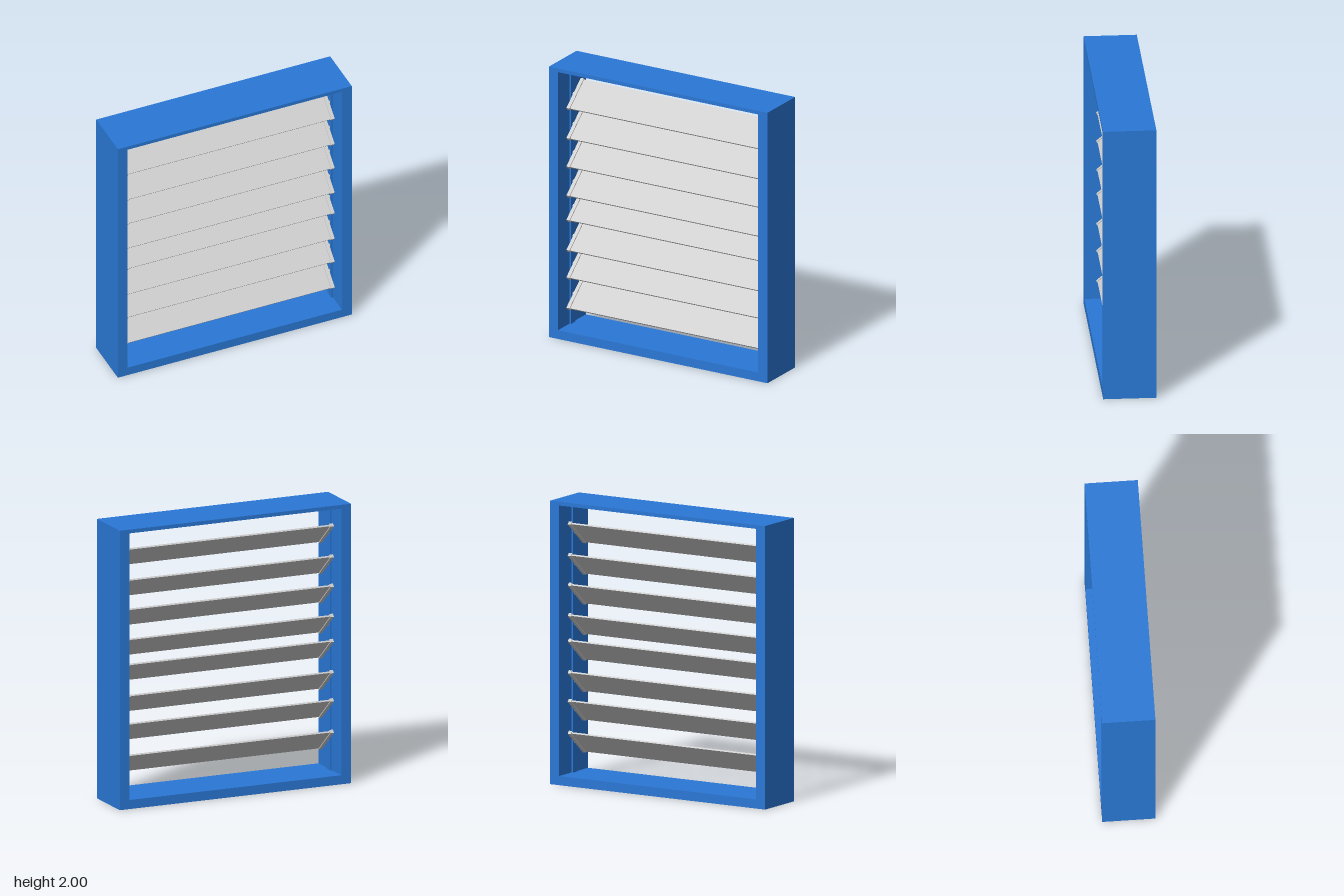
import * as THREE from 'three';

const BLUE = 0x2a78d6;
const GREY = 0xcccccc;
const W = 0.887;          // half width of the frame
const DEPTH = 0.37;       // frame depth
const STILE = 0.075;      // stile thickness
const TOP = 0.027;        // top rail thickness
const BOTTOM = 0.065;     // bottom rail thickness
const INNER = W - STILE;  // half width of the opening
const TILT = THREE.MathUtils.degToRad(40);

export function createModel() {
  const model = new THREE.Group();
  model.name = 'louvredWindow';
  const blue = new THREE.MeshStandardMaterial({ color: BLUE });
  const grey = new THREE.MeshStandardMaterial({ color: GREY });

  // Box given by its limits in x and y, centred in z
  function box(parent, name, material, x0, x1, y0, y1, depth) {
    const mesh = new THREE.Mesh(new THREE.BoxGeometry(x1 - x0, y1 - y0, depth), material);
    mesh.position.set((x0 + x1) / 2, (y0 + y1) / 2, 0);
    mesh.name = name;
    parent.add(mesh);
    return mesh;
  }

  // Frame: the right stile runs full height, the rails butt against it
  const frame = new THREE.Group();
  frame.name = 'frame';
  model.add(frame);
  box(frame, 'rightStile', blue, -W, -INNER, 0, 2, DEPTH);
  box(frame, 'leftStile', blue, INNER, W, BOTTOM, 2 - TOP, DEPTH);
  box(frame, 'topRail', blue, -INNER, W, 2 - TOP, 2, DEPTH);
  box(frame, 'bottomRail', blue, -INNER, W, 0, BOTTOM, DEPTH);

  // Upright strips that carry the slat pivots
  for (const side of [-1, 1]) {
    const x = side * (INNER - 0.006);
    box(frame, 'pivotStrip', blue, x - 0.006, x + 0.006, BOTTOM, 2 - TOP, 0.06);
  }

  // Tilted slats, front edge low, each with two end caps and pivot pins
  const heights = [0.281, 0.506, 0.708, 0.931, 1.111, 1.326, 1.536, 1.758];
  const pinGeometry = new THREE.CylinderGeometry(0.012, 0.012, 0.02, 16).rotateZ(Math.PI / 2);
  for (const y of heights) {
    const louvre = new THREE.Group();
    louvre.name = 'louvre';
    louvre.position.y = y;
    louvre.rotation.x = TILT;
    model.add(louvre);
    box(louvre, 'slat', grey, -0.77, 0.77, -0.006, 0.006, 0.243);
    for (const side of [-1, 1]) {
      const x = side * 0.781;
      box(louvre, 'endCap', grey, x - 0.013, x + 0.013, -0.0125, 0.0125, 0.252);
      const pin = new THREE.Mesh(pinGeometry, grey);
      pin.position.x = side * 0.797;
      pin.name = 'pivotPin';
      louvre.add(pin);
    }
  }
  return model;
}
